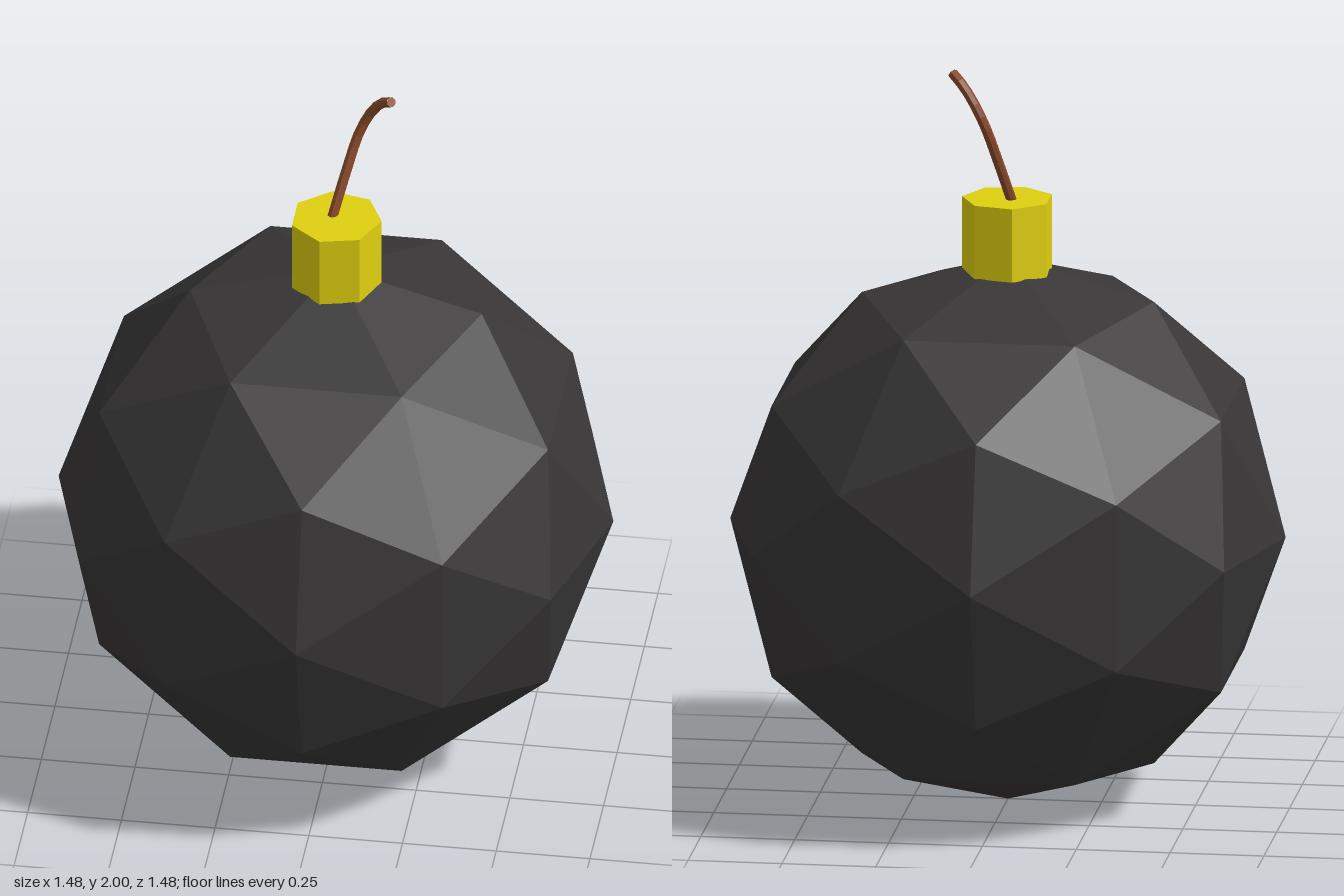
import * as THREE from 'three';

const R = 0.74; // body radius

function material(color, extra = {}) {
  return new THREE.MeshStandardMaterial({ color, flatShading: true, ...extra });
}

function part(name, geometry, mat) {
  const mesh = new THREE.Mesh(geometry, mat);
  mesh.name = name;
  return mesh;
}

export function createModel() {
  const model = new THREE.Group();
  model.name = 'bomb';

  // Faceted round body standing on the ground
  const body = part('body', new THREE.IcosahedronGeometry(R, 1), material(0x383636));
  body.position.y = R;
  model.add(body);

  // Seven-sided cap with one corner pointing to +x
  const cap = part(
    'cap',
    new THREE.CylinderGeometry(0.122, 0.122, 0.2, 7, 1, false, Math.PI / 2),
    material(0xe0d010)
  );
  cap.position.y = 1.54;
  model.add(cap);

  // Curved fuse rising from the cap
  const path = new THREE.CatmullRomCurve3([
    new THREE.Vector3(-0.015, 1.62, -0.005),
    new THREE.Vector3(0.018, 1.75, -0.056),
    new THREE.Vector3(0.05, 1.86, -0.093),
    new THREE.Vector3(0.085, 1.93, -0.092),
    new THREE.Vector3(0.115, 1.968, -0.075),
    new THREE.Vector3(0.14, 1.988, -0.052),
  ]);
  const fuseMaterial = material(0x8a4a2a);
  const fuse = new THREE.Group();
  fuse.name = 'fuse';
  fuse.add(part('fuseCord', new THREE.TubeGeometry(path, 12, 0.014, 7), fuseMaterial));

  // Flat tip closing the end of the cord
  const tip = part('fuseTip', new THREE.CircleGeometry(0.014, 7), fuseMaterial);
  const end = path.getPoint(1);
  tip.position.copy(end);
  tip.lookAt(end.clone().add(path.getTangent(1)));
  fuse.add(tip);
  model.add(fuse);

  return model;
}
